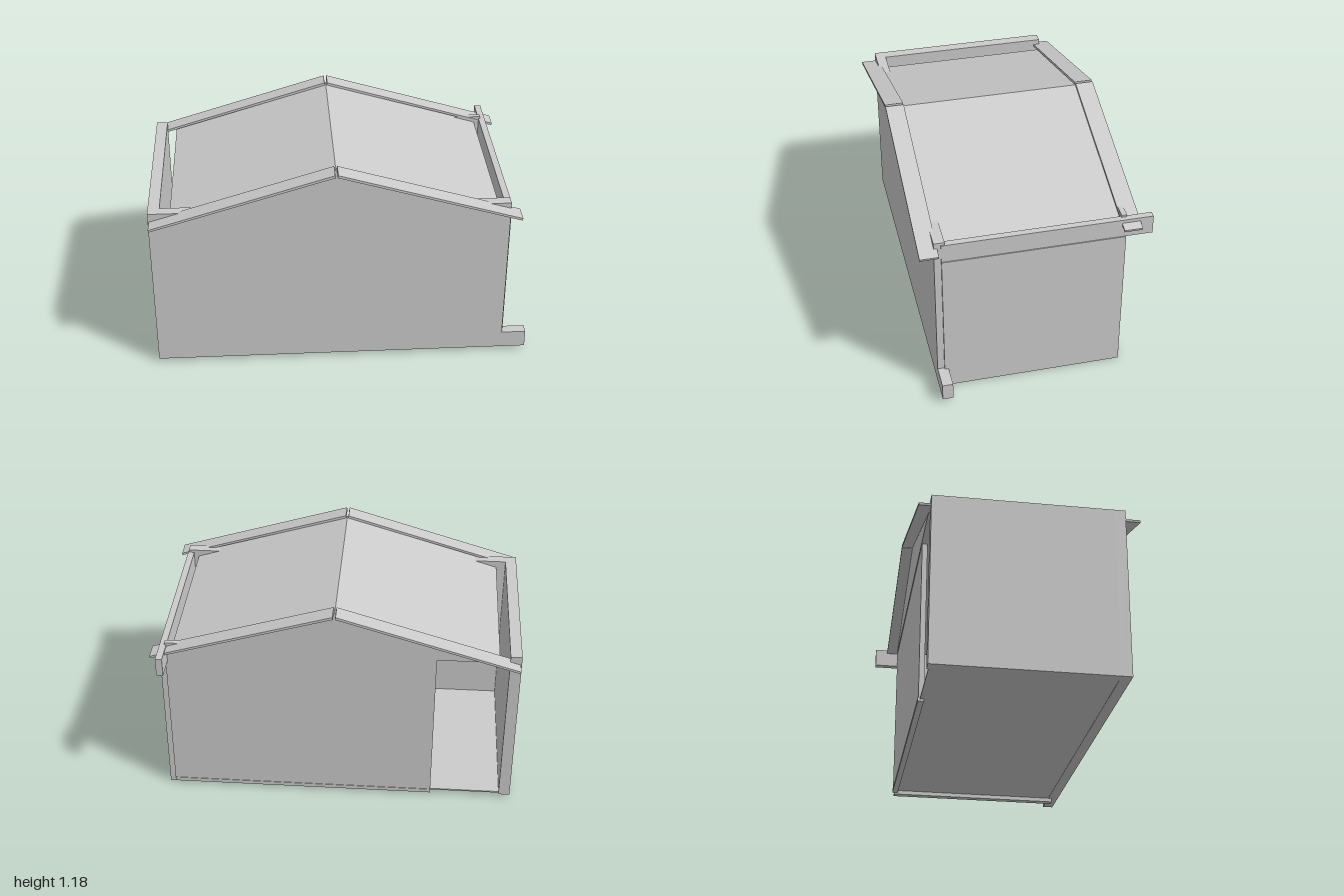
import * as THREE from 'three';

const material = new THREE.MeshStandardMaterial({ color: 0xcccccc, flatShading: true });

export function createModel() {
  const group = new THREE.Group();
  group.name = 'gabledShed';

  const add = (name, geometry) => {
    const mesh = new THREE.Mesh(geometry, material);
    mesh.name = name;
    group.add(mesh);
    return mesh;
  };
  // Box given by its extents
  const box = (name, x0, x1, y0, y1, z0, z1) =>
    add(name, new THREE.BoxGeometry(x1 - x0, y1 - y0, z1 - z0)
      .translate((x0 + x1) / 2, (y0 + y1) / 2, (z0 + z1) / 2));
  // Outline in x and y, extruded from z0 to z1
  const prism = (name, points, z0, z1) => {
    const shape = new THREE.Shape(points.map(([x, y]) => new THREE.Vector2(x, y)));
    return add(name, new THREE.ExtrudeGeometry(shape, { depth: z1 - z0, bevelEnabled: false })
      .translate(0, 0, z0));
  };

  // Floor and walls; the back wall leaves a doorway at the -x end
  box('floor', -0.95, 0.85, 0.022, 0.03, -0.46, 0.48);
  box('frontWall', -1, 0.87, 0.02, 0.943, 0.465, 0.521);
  box('rightEndWall', -1, -0.94, 0.02, 0.943, -0.47, 0.47);
  box('leftEndWall', 0.84, 0.88, 0, 0.826, -0.46, 0.485);
  box('backWall', -0.565, 0.85, 0.012, 0.94, -0.468, -0.44);
  box('backSill', -0.565, 0.85, 0.01, 0.032, -0.471, -0.44);

  // Eave beam running past the back, and foot of the front wall
  box('eaveBeam', 0.84, 0.875, 0.825, 0.928, -0.6, 0.485);
  box('wallFoot', 0.86, 1, 0.02, 0.115, 0.465, 0.521);

  // Roof body with a flat ceiling
  const ridge = -0.038;
  prism('roof', [[-0.89, 0.905], [0.814, 0.905], [ridge, 1.17]], -0.472, 0.523);

  // Sloping boards over both gables, with a narrow gap at the ridge
  for (const [end, z0, z1] of [['front', 0.503, 0.6], ['back', -0.532, -0.437]]) {
    for (const side of [-1, 1]) {
      const outline = [[0.008, 1.183], [0.957, 0.896], [0.954, 0.884], [0.005, 1.169]]
        .map(([x, y]) => [ridge + side * x, y]);
      prism(end + 'GableBoard', outline, z0, z1);
    }
  }

  return group;
}
